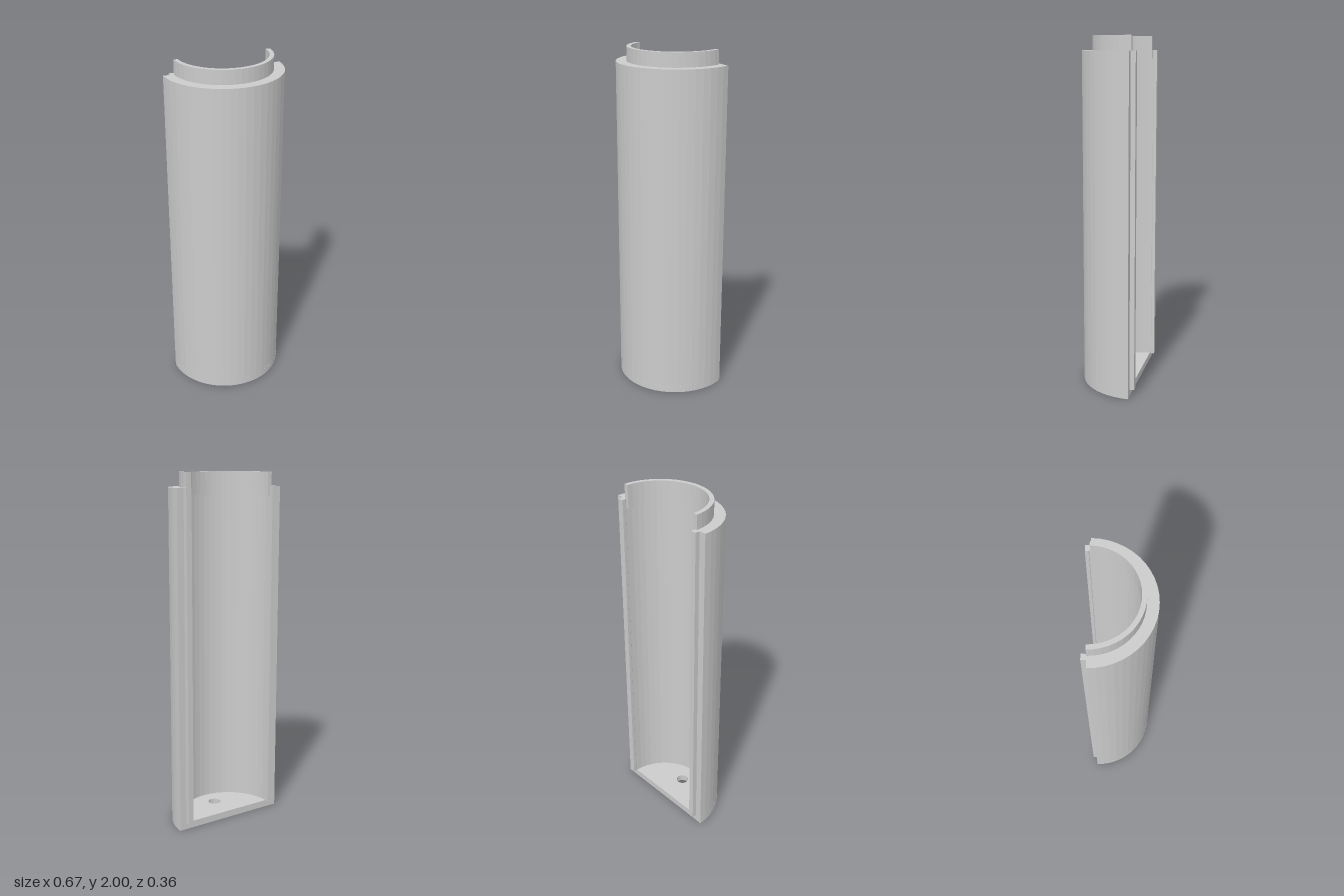
import * as THREE from 'three';

const SEGMENTS = 24;       // facets around the half circle
const AXIS_Z = -0.156;     // cut plane and centre of the half tube
const OUTER = 0.337;
const FLOOR = 0.04;
const SHOULDER = 1.92;

const material = new THREE.MeshStandardMaterial({ color: 0xcccccc, flatShading: true });

function addMesh(group, name, geometry) {
  const mesh = new THREE.Mesh(geometry, material);
  mesh.name = name;
  group.add(mesh);
  return mesh;
}

// Extrude a plan drawn in (x, z) upwards from y0 to y1
function extrudeUp(shape, y0, y1) {
  const geometry = new THREE.ExtrudeGeometry(shape, {
    depth: y1 - y0, bevelEnabled: false, curveSegments: SEGMENTS,
  });
  return geometry.rotateX(Math.PI / 2).translate(0, y1, 0);
}

export function createModel() {
  const group = new THREE.Group();
  group.name = 'halfTubeShell';

  // Wall section: outside, shoulder, raised lip, inner ledge, cavity
  const section = [
    [OUTER, FLOOR], [OUTER, SHOULDER], [0.277, SHOULDER], [0.277, 2],
    [0.252, 2], [0.252, 1.87], [0.268, 1.87], [0.268, FLOOR],
  ];
  const wall = new THREE.LatheGeometry(
    section.map(([r, y]) => new THREE.Vector2(r, y)), SEGMENTS, -Math.PI / 2, Math.PI);
  addMesh(group, 'wall', wall.translate(0, 0, AXIS_Z));

  // Half-disc floor with a round hole
  const disc = new THREE.Shape();
  disc.absarc(0, 0, OUTER, 0, Math.PI, false);
  disc.closePath();
  const hole = new THREE.Path();
  hole.absarc(0, 0.158, 0.036, 0, Math.PI * 2, true);
  disc.holes.push(hole);
  addMesh(group, 'floor', extrudeUp(disc, 0, FLOOR).translate(0, 0, AXIS_Z));

  // Tongue plan: a rail with a slightly undercut inner edge
  const tongue = [
    [0.268, AXIS_Z], [0.268, -0.162], [0.265, -0.165],
    [0.265, -0.183], [0.297, -0.183], [0.297, AXIS_Z],
  ];

  // Flat cut faces and tongues on both sides
  for (const [side, s] of [['left', 1], ['right', -1]]) {
    const mirrored = (points) =>
      new THREE.Shape(points.map(([x, y]) => new THREE.Vector2(s * x, y)));
    const face = new THREE.ShapeGeometry(mirrored(section));
    addMesh(group, side + 'CutFace', face.rotateY(Math.PI).translate(0, 0, AXIS_Z));
    addMesh(group, side + 'Tongue', extrudeUp(mirrored(tongue), FLOOR, SHOULDER));
  }
  return group;
}
